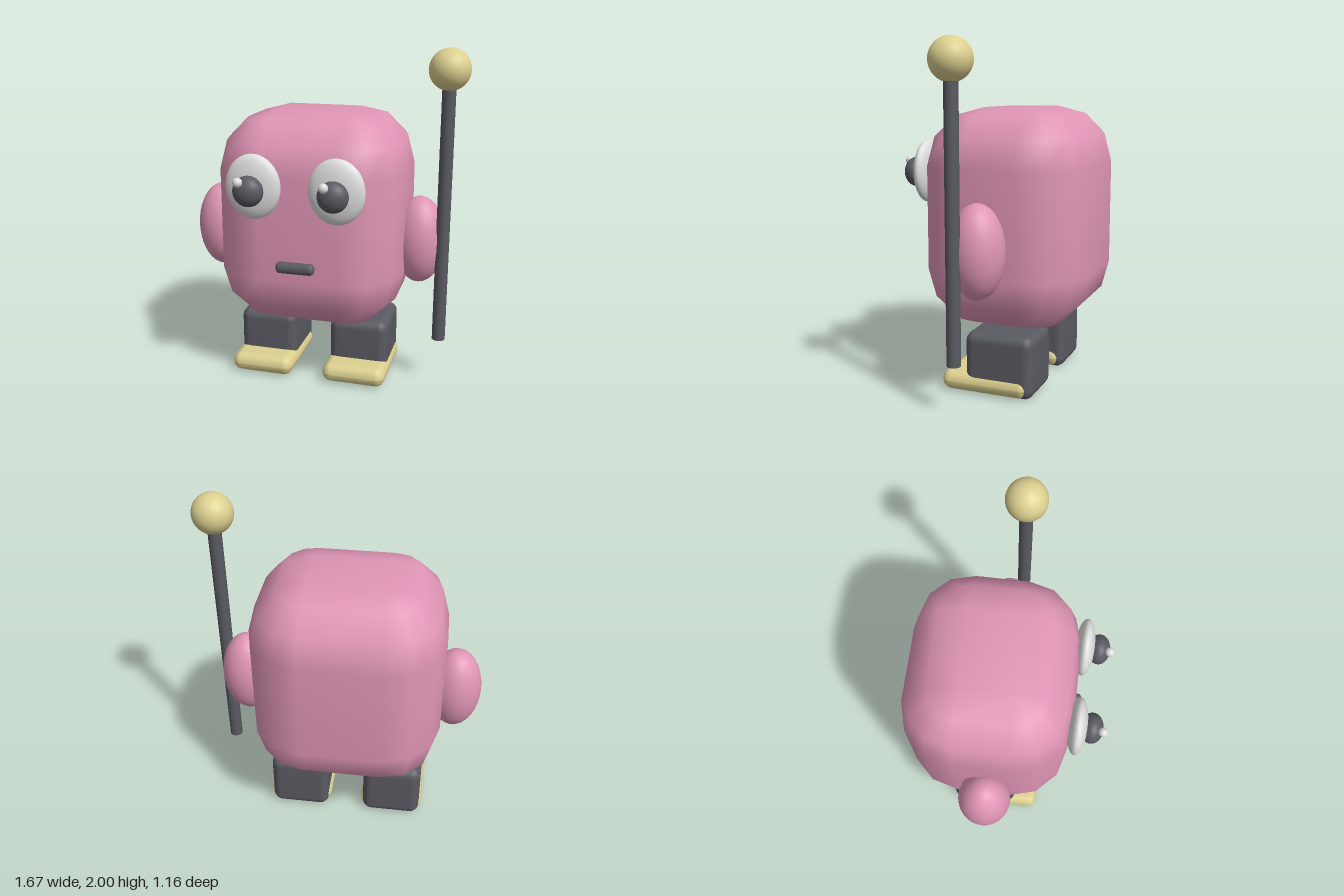
import * as THREE from 'three';
import { mergeVertices } from 'three/addons/utils/BufferGeometryUtils.js';

const material = (name, color) => Object.assign(new THREE.MeshStandardMaterial({ color }), { name });

// Box with every edge and corner rounded in equal steps, smooth shaded.
function roundedBox(w, h, d, r, seg) {
  const n = seg + 1, step = Math.PI / 2 / seg;
  const cols = 4 * n, rows = 2 * n + 1;
  const geo = new THREE.PlaneGeometry(1, 1, cols, rows);
  const pos = geo.attributes.position;
  for (let j = 0; j <= rows; j++) {
    for (let i = 0; i <= cols; i++) {
      const k = j * (cols + 1) + i;
      // First and last rows close the top and bottom faces.
      if (j === 0 || j === rows) {
        pos.setXYZ(k, 0, j === 0 ? h / 2 : -h / 2, 0);
        continue;
      }
      const q = Math.floor(i / n) % 4;
      const a = q * Math.PI / 2 + (i % n) * step;
      const lower = j > n;
      const t = (j - 1 - (lower ? 1 : 0)) * step;
      const sx = q < 2 ? 1 : -1, sz = q === 0 || q === 3 ? 1 : -1;
      pos.setXYZ(k,
        sx * (w / 2 - r) + r * Math.sin(t) * Math.sin(a),
        (lower ? -1 : 1) * (h / 2 - r) + r * Math.cos(t),
        sz * (d / 2 - r) + r * Math.sin(t) * Math.cos(a));
    }
  }
  geo.deleteAttribute('uv');
  geo.deleteAttribute('normal');
  const merged = mergeVertices(geo, 1e-4);
  merged.computeVertexNormals();
  return merged;
}

const ellipsoid = (rx, ry, rz) => new THREE.SphereGeometry(1, 32, 20).scale(rx, ry, rz);

export function createModel() {
  const pink = material('pink', 0xdf95b5);
  const dark = material('charcoal', 0x5a5a62);
  const gold = material('pale gold', 0xdcd08f);
  const white = material('white', 0xdedede);

  const model = new THREE.Group();
  model.name = 'figure';
  const add = (name, geo, mat, x, y, z) => {
    const mesh = new THREE.Mesh(geo, mat);
    mesh.name = name;
    mesh.position.set(x, y, z);
    model.add(mesh);
  };

  const cx = -0.056; // the body's own centre line, the staff stands to its left

  add('body', roundedBox(1.11, 1.267, 0.965, 0.33, 3), pink, cx, 0.998, -0.097);
  add('mouth', roundedBox(0.225, 0.064, 0.06, 0.026, 3), dark, cx, 0.797, 0.412);

  // Paired parts
  for (const [side, s] of [['right', -1], ['left', 1]]) {
    add(side + 'Arm', ellipsoid(0.155, 0.264, 0.153), pink, cx + s * 0.625, 0.875, -0.074);
    add(side + 'Leg', roundedBox(0.357, 0.365, 0.41, 0.055, 4), dark, cx + s * 0.289, 0.1825, -0.12);
    add(side + 'Foot', roundedBox(0.385, 0.116, 0.53, 0.055, 4), gold, cx + s * 0.289, 0.063, -0.035);
    const ex = cx + s * 0.239;
    add(side + 'Eye', ellipsoid(0.161, 0.185, 0.057), white, ex, 1.255, 0.409);
    add(side + 'Pupil', ellipsoid(0.087, 0.087, 0.066), dark, ex, 1.247, 0.49);
    add(side + 'EyeGlint', ellipsoid(0.027, 0.027, 0.027), white, ex - 0.035, 1.308, 0.551);
  }

  // Staff with a ball on top
  add('staff', new THREE.CylinderGeometry(0.039, 0.039, 1.54, 24), dark, 0.715, 1.05, 0);
  add('staffBall', new THREE.SphereGeometry(0.117, 32, 20), gold, 0.715, 1.883, 0);

  return model;
}
